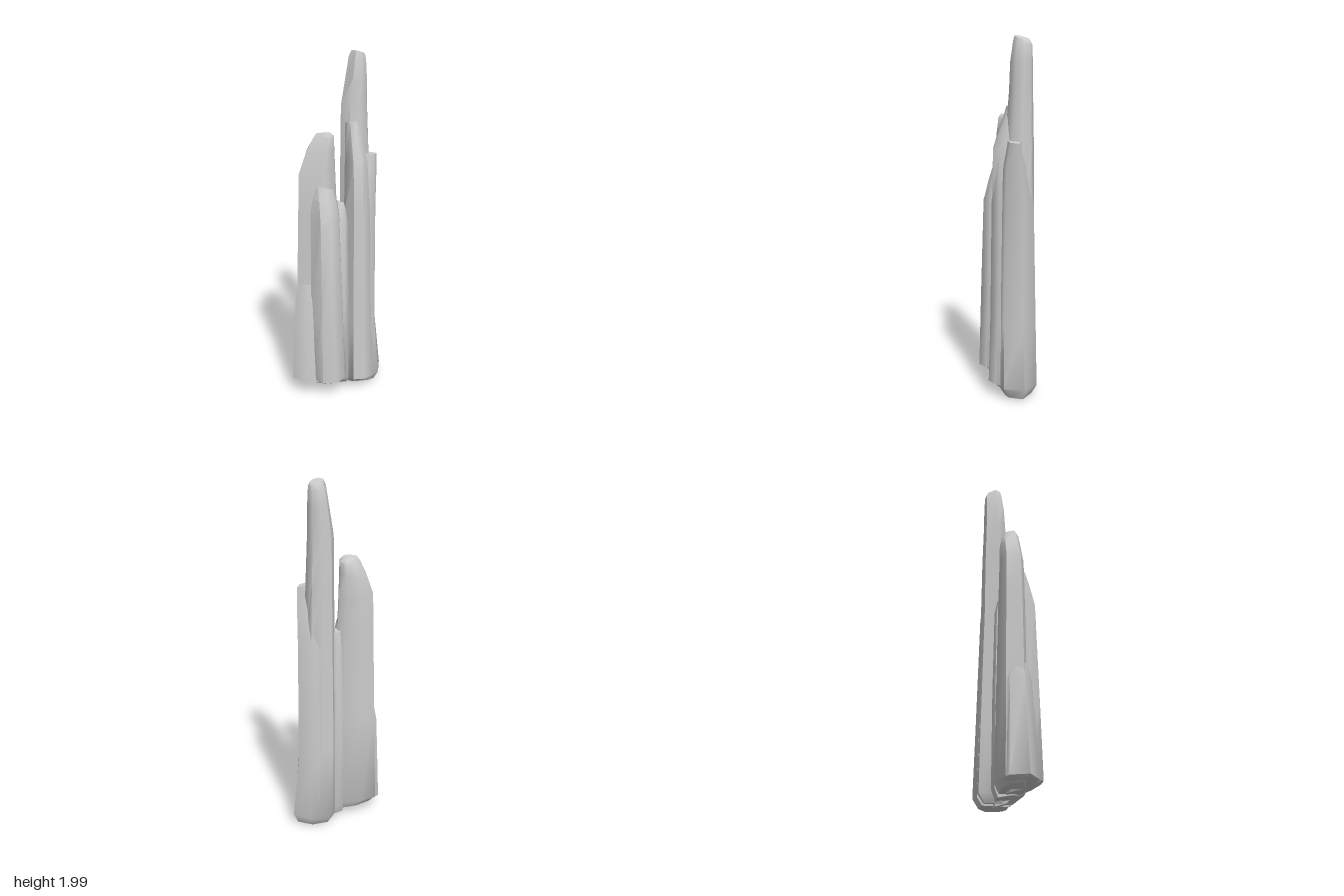
import * as THREE from 'three';
import { toCreasedNormals } from 'three/addons/utils/BufferGeometryUtils.js';

const material = new THREE.MeshStandardMaterial({ color: 0xcccccc });

// Lofts an outline of [x, z] points (-1..1) through levels.
// Level: [y, xMin, xMax, zMin, zMax, slope along x, slope along z]
function column(name, outline, levels) {
  const n = outline.length, pos = [], index = [];
  for (const [y, x0, x1, z0, z1, sx = 0, sz = 0] of levels) {
    const hx = (x1 - x0) / 2, hz = (z1 - z0) / 2;
    for (const [u, v] of outline) {
      pos.push((x0 + x1) / 2 + u * hx, y + sx * u * hx + sz * v * hz, (z0 + z1) / 2 + v * hz);
    }
  }
  for (let r = 0; r < levels.length - 1; r++) {
    for (let i = 0; i < n; i++) {
      const a = r * n + i, b = r * n + (i + 1) % n;
      index.push(a, a + n, b, b, a + n, b + n);
    }
  }
  // Closing fans at the bottom and top
  const mid = l => [(l[1] + l[2]) / 2, l[0], (l[3] + l[4]) / 2];
  const low = pos.length / 3, high = low + 1, last = (levels.length - 1) * n;
  pos.push(...mid(levels[0]), ...mid(levels[levels.length - 1]));
  for (let i = 0; i < n; i++) {
    const j = (i + 1) % n;
    index.push(low, i, j, high, last + j, last + i);
  }
  const geo = new THREE.BufferGeometry();
  geo.setAttribute('position', new THREE.Float32BufferAttribute(pos, 3));
  geo.setIndex(index);
  const mesh = new THREE.Mesh(toCreasedNormals(geo, 0.85), material);
  mesh.name = name;
  return mesh;
}

// Outlines run clockwise seen from above, starting at the back left
const round = [[-0.55, -0.9], [0.1, -1], [0.75, -0.75], [1, -0.1], [0.8, 0.6], [0.2, 1], [-0.5, 0.9], [-1, 0.1]];
const slab = [[-0.75, -0.75], [-0.1, -1], [0.7, -0.8], [1, -0.2], [0.85, 0.55], [0.3, 1], [-0.3, 0.8], [-1, 0.3]];
const wedge = [[-0.8, -1], [0.2, -1], [1, -0.25], [0.65, 0.8], [0.2, 1], [-0.8, 0.9]];

export function createModel() {
  const group = new THREE.Group();
  group.name = 'rockSpires';
  group.add(
    // Right cluster: tall spire, outer shoulder and front rib
    column('tallSpire', round, [
      [0.02, 0.04, 0.19, -0.12, 0.04],
      [0.07, 0.015, 0.22, -0.157, 0.06],
      [0.5, 0.015, 0.21, -0.15, 0.05],
      [1.1, 0.02, 0.2, -0.137, 0.04],
      [1.45, 0.025, 0.19, -0.135, 0.02],
      [1.7, 0.03, 0.18, -0.13, 0.0],
      [1.85, 0.055, 0.177, -0.127, -0.005],
      [1.95, 0.075, 0.172, -0.122, -0.02, -0.2, 0.2],
      [1.975, 0.088, 0.162, -0.11, -0.027, -0.3, 0.25],
    ]),
    column('outerShoulder', wedge, [
      [0.01, 0.07, 0.255, -0.12, 0.03],
      [0.06, 0.06, 0.282, -0.15, 0.06, 0.1],
      [0.42, 0.06, 0.245, -0.145, 0.06],
      [1.1, 0.06, 0.237, -0.13, 0.045],
      [1.3, 0.06, 0.234, -0.1, 0.035],
      [1.44, 0.07, 0.23, -0.07, 0.01, -0.15],
    ]),
    column('rightFrontRib', round, [
      [0.015, 0.04, 0.17, -0.06, 0.05, -0.05, 0.25],
      [0.07, 0.02, 0.215, -0.08, 0.117, 0, 0.1],
      [0.45, 0.025, 0.2, -0.08, 0.105],
      [1.1, 0.03, 0.185, -0.08, 0.095],
      [1.4, 0.035, 0.165, -0.08, 0.085],
      [1.62, 0.045, 0.125, -0.08, 0.01, 0.2],
    ]),
    // Left cluster: shorter spire, front rib and flared foot
    column('shortSpire', slab, [
      [0.055, -0.23, 0.03, -0.07, 0.06, -0.08],
      [0.1, -0.265, 0.045, -0.1, 0.085],
      [0.65, -0.245, 0.02, -0.093, 0.075],
      [1.1, -0.23, 0.0, -0.088, 0.07],
      [1.35, -0.222, -0.01, -0.083, 0.06],
      [1.47, -0.18, -0.014, -0.08, 0.048, 0.1],
      [1.54, -0.143, -0.018, -0.065, 0.04, 0.1, 0.2],
      [1.565, -0.12, -0.04, -0.05, 0.025, 0, 0.2],
    ]),
    column('leftFrontRib', round, [
      [0.055, -0.14, 0.0, -0.03, 0.1, 0, 0.2],
      [0.105, -0.18, 0.035, -0.04, 0.157],
      [0.5, -0.175, 0.02, -0.04, 0.145],
      [1.09, -0.168, 0.0, -0.04, 0.125],
      [1.2, -0.165, -0.008, -0.04, 0.092, -0.3],
      [1.28, -0.16, -0.03, -0.04, 0.065, -0.3],
    ]),
    column('flaredFoot', wedge.map(([x, z]) => [-x, -z]), [
      [0.07, -0.265, -0.1, -0.06, 0.07, -0.15],
      [0.09, -0.284, -0.1, -0.08, 0.1, -0.1],
      [0.6, -0.255, -0.13, -0.07, 0.07],
      [0.7, -0.235, -0.14, -0.05, 0.05],
    ]),
    // Low saddle joining both clusters
    column('saddle', round, [
      [0.035, -0.05, 0.08, -0.07, 0.06, -0.1, 0.1],
      [0.08, -0.05, 0.08, -0.09, 0.09],
      [0.6, -0.04, 0.07, -0.088, 0.08],
      [1.08, -0.03, 0.06, -0.08, 0.06],
      [1.16, -0.025, 0.05, -0.065, 0.03],
    ]),
  );
  return group;
}
